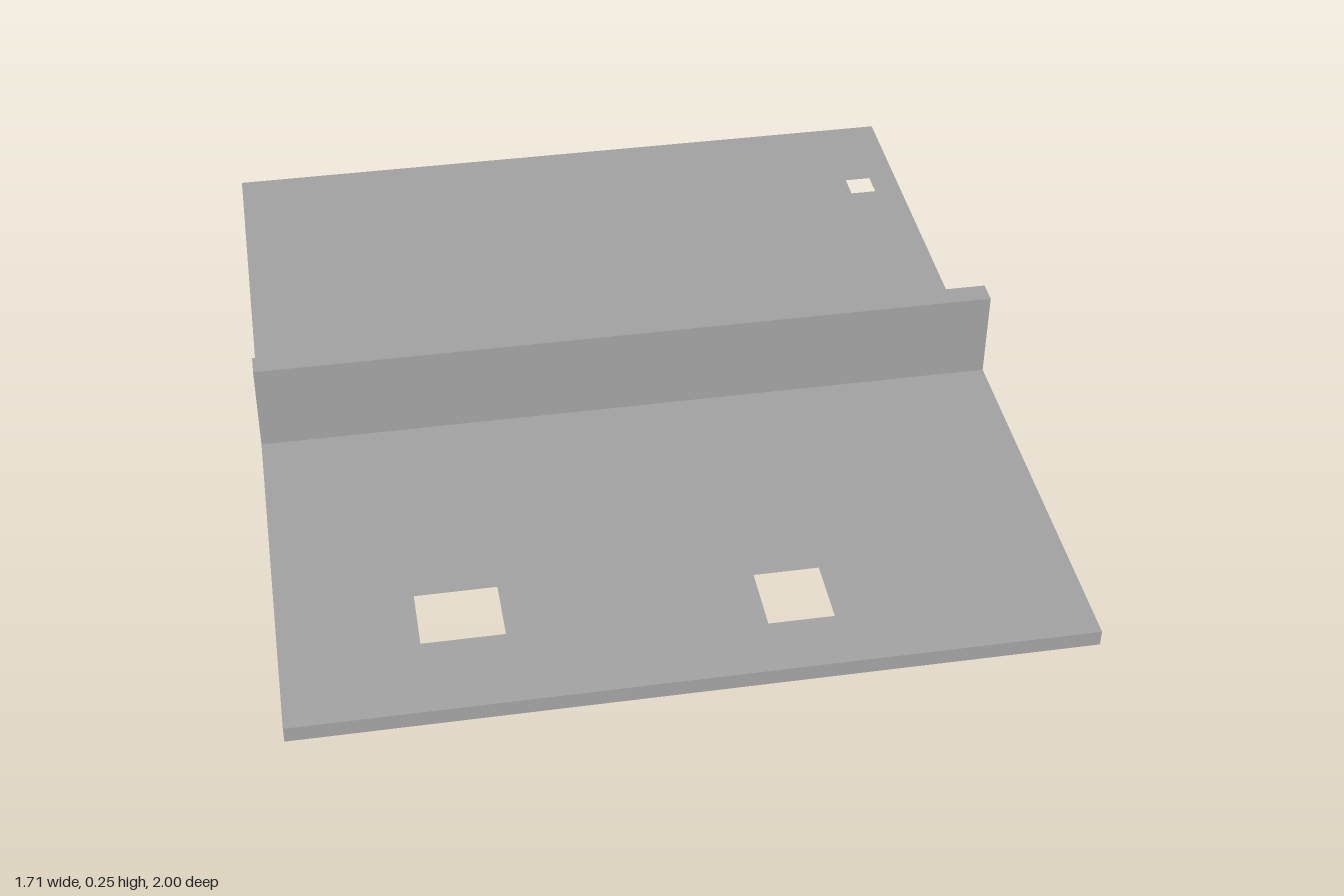
import * as THREE from 'three';

const HALF_X = 0.857;
const PLATE_H = 0.037;
const RIB_TOP = 0.248;

// Adds a closed rectangle to a path; z is flipped because the plate is laid flat
function rect(path, x0, x1, z0, z1) {
  path.moveTo(x0, -z0);
  path.lineTo(x1, -z0);
  path.lineTo(x1, -z1);
  path.lineTo(x0, -z1);
  path.closePath();
  return path;
}

export function createModel() {
  const model = new THREE.Group();
  model.name = 'ribbedPlate';
  const grey = new THREE.MeshStandardMaterial({ color: 0xa2a2a2 });
  grey.name = 'grey';

  // Base plate with three rectangular openings
  const outline = rect(new THREE.Shape(), -HALF_X, HALF_X, -1, 1);
  const openings = [
    [-0.56, -0.38, 0.657, 0.803],
    [0.17, 0.314, 0.71, 0.862],
    [0.725, 0.789, -0.752, -0.689],
  ];
  for (const o of openings) outline.holes.push(rect(new THREE.Path(), ...o));
  const plateGeometry = new THREE.ExtrudeGeometry(outline, { depth: PLATE_H, bevelEnabled: false });
  plateGeometry.rotateX(-Math.PI / 2);
  const plate = new THREE.Mesh(plateGeometry, grey);
  plate.name = 'basePlate';
  model.add(plate);

  // Upright rib across the full width
  const rib = new THREE.Mesh(new THREE.BoxGeometry(HALF_X * 2, RIB_TOP - PLATE_H, 0.053), grey);
  rib.name = 'uprightRib';
  rib.position.set(0, (RIB_TOP + PLATE_H) / 2, 0.069);
  model.add(rib);

  return model;
}
